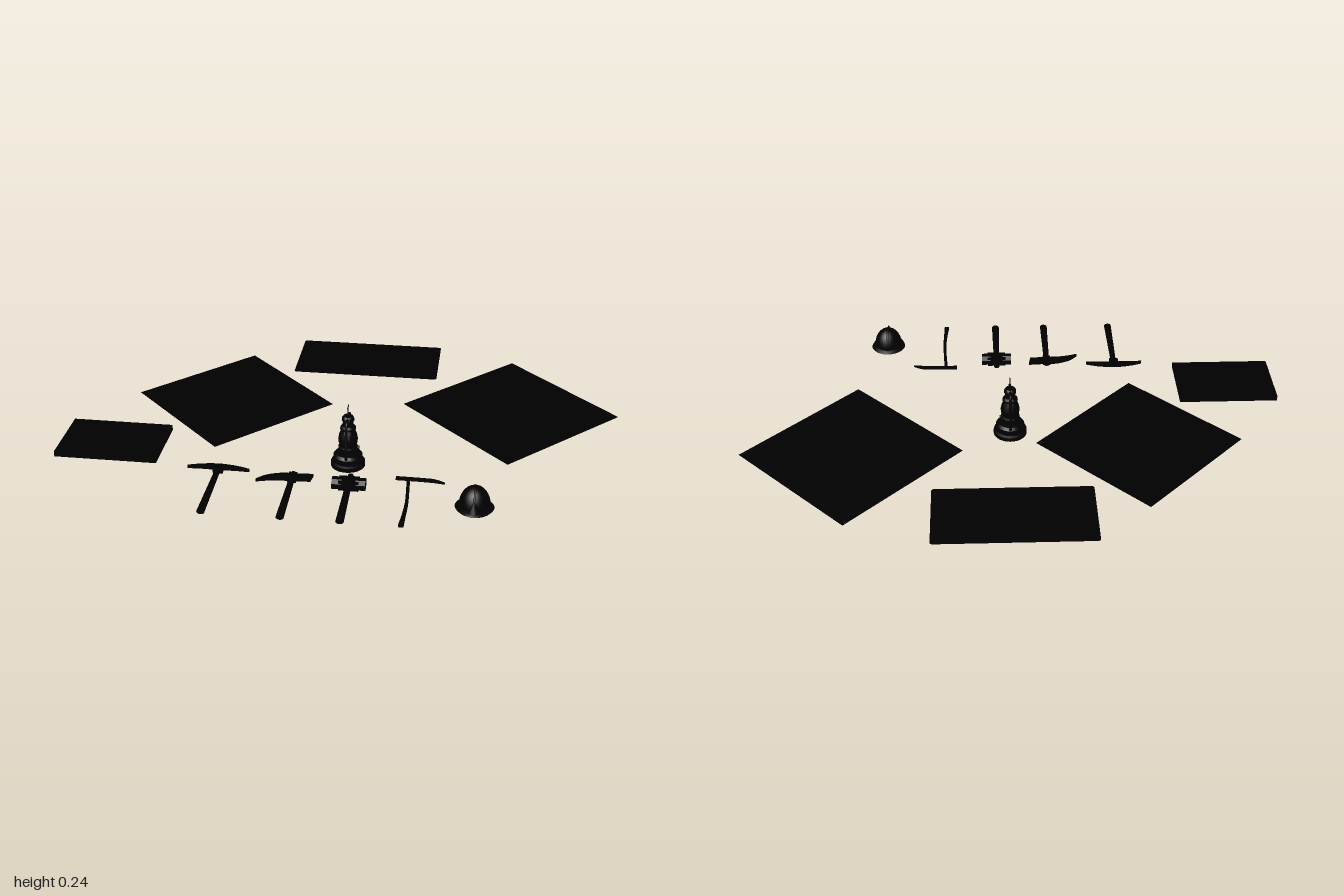
import * as THREE from 'three';
import { toCreasedNormals } from 'three/addons/utils/BufferGeometryUtils.js';

const material = new THREE.MeshStandardMaterial({ color: 0x000000, side: THREE.DoubleSide });
const LEVEL = 0.12; // height at which the flat items lie

function add(parent, name, geometry, x = 0, y = 0, z = 0) {
  const mesh = new THREE.Mesh(geometry, material);
  mesh.name = name;
  mesh.position.set(x, y, z);
  parent.add(mesh);
  return mesh;
}

function group(parent, name, x, y, z) {
  const g = new THREE.Group();
  g.name = name;
  g.position.set(x, y, z);
  parent.add(g);
  return g;
}

// Plan outline in x,z given as smooth edges, extruded to a thickness centred on y = 0
function plate(edges, thickness) {
  const shape = new THREE.Shape();
  edges.forEach((edge, i) => {
    const pts = edge.map(([x, z]) => new THREE.Vector2(x, z));
    if (i === 0) shape.moveTo(pts[0].x, pts[0].y);
    else shape.lineTo(pts[0].x, pts[0].y);
    if (pts.length > 2) shape.splineThru(pts.slice(1));
    else pts.slice(1).forEach(p => shape.lineTo(p.x, p.y));
  });
  const g = new THREE.ExtrudeGeometry(shape, { depth: thickness, bevelEnabled: false, curveSegments: 16 });
  g.rotateX(Math.PI / 2);
  g.translate(0, thickness / 2, 0);
  return toCreasedNormals(g, 0.6);
}

// Round shaft lying along z, flaring from the head end to the grip end
function shaft(z0, z1, r0, r1) {
  const g = new THREE.CylinderGeometry(r1, r0, z1 - z0, 12);
  g.rotateX(Math.PI / 2);
  g.scale(1, 0.7, 1);
  g.translate(0, 0, (z0 + z1) / 2);
  return g;
}

function sheets(root) {
  // Two square sheets turned on their corners
  for (const [name, x, z, r] of [['rightSheet', -0.445, -0.133, 0.375], ['leftSheet', 0.598, -0.17, 0.402]]) {
    const g = new THREE.PlaneGeometry(r * Math.SQRT2, r * Math.SQRT2);
    g.rotateX(-Math.PI / 2);
    add(root, name, g, x, LEVEL, z).rotation.y = Math.PI / 4;
  }
  // Oblong sheet with softened corners
  const w = 0.283, d = 0.143, c = 0.006;
  add(root, 'backSheet', plate([
    [[-w + c, -d], [w - c, -d]], [[w, -d + c], [w, d - c]],
    [[w - c, d], [-w + c, d]], [[-w, d - c], [-w, -d + c]],
  ], 0.002), 0.022, LEVEL, -0.532);
}

function planks(root) {
  const g = group(root, 'planks', -0.815, LEVEL, 0.243);
  for (const i of [-1, 0, 1]) add(g, 'plank', new THREE.BoxGeometry(0.37, 0.02, 0.079), 0, 0, i * 0.082);
}

function doublePick(root) {
  const g = group(root, 'doublePick', -0.4, LEVEL, 0);
  add(g, 'handle', shaft(0.37, 0.665, 0.010, 0.014));
  add(g, 'head', plate([
    [[-0.11, 0.387], [-0.06, 0.372], [0, 0.365], [0.06, 0.372], [0.11, 0.387]],
    [[0.06, 0.385], [0.02, 0.386], [0, 0.387], [-0.02, 0.386], [-0.06, 0.385], [-0.11, 0.387]],
  ], 0.014));
  add(g, 'collar', new THREE.BoxGeometry(0.034, 0.022, 0.03), 0, 0, 0.388);
}

function adzePick(root) {
  const g = group(root, 'adzePick', -0.135, LEVEL, 0);
  add(g, 'handle', shaft(0.382, 0.665, 0.010, 0.014));
  add(g, 'head', plate([
    [[-0.123, 0.446], [-0.09, 0.415], [-0.04, 0.396], [0.01, 0.394], [0.07, 0.390]],
    [[0.064, 0.424], [0.03, 0.426], [-0.02, 0.428], [-0.07, 0.432], [-0.123, 0.446]],
  ], 0.012));
  add(g, 'collar', new THREE.BoxGeometry(0.03, 0.018, 0.042), 0, 0, 0.412);
}

function hammer(root) {
  const g = group(root, 'sledgeHammer', 0.063, LEVEL, 0);
  add(g, 'handle', shaft(0.372, 0.665, 0.010, 0.014));
  add(g, 'headCore', new THREE.BoxGeometry(0.07, 0.034, 0.044), 0, 0, 0.427);
  // Eight-sided striking faces
  for (const side of [-1, 1]) {
    const face = new THREE.CylinderGeometry(0.026, 0.026, 0.034, 8).toNonIndexed();
    face.rotateY(Math.PI / 8);
    face.rotateZ(Math.PI / 2);
    face.scale(1, 0.82, 1);
    face.computeVertexNormals();
    add(g, 'strikingFace', face, side * 0.041, 0, 0.427);
  }
}

function hookPick(root) {
  const g = group(root, 'slimPick', 0.265, LEVEL, 0);
  // Gently bowed handle
  add(g, 'handle', plate([
    [[-0.009, 0.37], [-0.004, 0.45], [-0.001, 0.53], [-0.005, 0.61], [-0.011, 0.665]],
    [[0.007, 0.665], [0.008, 0.61], [0.010, 0.53], [0.007, 0.45], [0.003, 0.37]],
  ], 0.010));
  add(g, 'head', plate([
    [[-0.046, 0.364], [0.05, 0.365], [0.09, 0.369], [0.124, 0.386]],
    [[0.085, 0.381], [0.04, 0.379], [-0.046, 0.378]],
  ], 0.008));
}

function helmet(root) {
  const g = group(root, 'helmet', 0.495, 0, 0.53);
  const dome = new THREE.SphereGeometry(1, 32, 12, 0, Math.PI * 2, 0, Math.PI / 2);
  dome.scale(0.053, 0.071, 0.054);
  add(g, 'dome', dome, 0, 0.135, 0);
  // Oval brim, narrowing to a peak at the front and drooping at the sides
  const brim = new THREE.LatheGeometry([[0.046, 0.138], [0.058, 0.135], [0.066, 0.127], [0.064, 0.125], [0.046, 0.131]]
    .map(p => new THREE.Vector2(...p)), 40);
  const p = brim.attributes.position;
  for (let i = 0; i < p.count; i++) {
    const z = p.getZ(i), front = Math.max(0, z / 0.066);
    p.setX(i, p.getX(i) * (1 - 0.1 * front));
    p.setZ(i, z * (1 + 0.2 * front));
    p.setY(i, p.getY(i) + 0.008 * front * front);
  }
  brim.computeVertexNormals();
  add(g, 'brim', brim);
  // Crown ridge running front to back
  const ridge = new THREE.TorusGeometry(0.053, 0.004, 6, 24, Math.PI);
  ridge.rotateY(Math.PI / 2);
  ridge.scale(1, 1.28, 1);
  add(g, 'crownRidge', ridge, 0, 0.135, 0);
  // Front lamp bracket, pointed at the top
  const bracket = new THREE.ConeGeometry(0.02, 0.042, 12);
  add(g, 'lampBracket', bracket, 0, 0.165, 0.06);
}

function lantern(root) {
  const g = group(root, 'lantern', 0.018, 0, 0.1);
  const turned = (name, pts) => add(g, name,
    toCreasedNormals(new THREE.LatheGeometry(pts.map(p => new THREE.Vector2(...p)), 32), 0.6));
  turned('fuelTank', [[0, 0], [0.063, 0], [0.063, 0.016], [0.054, 0.02], [0.054, 0.042], [0.046, 0.052], [0.026, 0.056], [0, 0.056]]);
  turned('burner', [[0.022, 0.054], [0.022, 0.066], [0.034, 0.07], [0.036, 0.078], [0.028, 0.082], [0, 0.082]]);
  turned('globe', [[0.026, 0.08], [0.034, 0.095], [0.036, 0.11], [0.032, 0.13], [0.024, 0.148], [0, 0.148]]);
  turned('chimney', [[0.024, 0.146], [0.029, 0.15], [0.028, 0.158], [0.02, 0.164], [0.019, 0.18], [0.023, 0.186], [0.022, 0.196], [0.017, 0.203], [0, 0.203]]);
  // Side tubes from tank to crown
  const tube = (name, pts, r, sides, curved) => {
    const path = new THREE.CatmullRomCurve3(pts.map(([y, z]) => new THREE.Vector3(0, y, z)), false, 'catmullrom', curved);
    add(g, name, new THREE.TubeGeometry(path, 40, r, sides));
  };
  for (const s of [-1, 1]) {
    tube('sideTube', [[0.046, 0.038], [0.052, 0.058], [0.062, 0.067], [0.09, 0.065], [0.14, 0.056],
      [0.18, 0.048], [0.192, 0.04], [0.195, 0.015]].map(([y, z]) => [y, z * s]), 0.005, 8, 0.4);
    const knob = new THREE.CylinderGeometry(0.006, 0.006, 0.014, 12);
    knob.rotateZ(Math.PI / 2);
    if (s > 0) add(g, 'wickKnob', knob, 0.034, 0.074, 0);
  }
  // Thin carrying wire
  tube('bail', [[0.198, -0.021], [0.228, -0.022], [0.24, -0.016], [0.242, 0], [0.24, 0.016], [0.228, 0.022], [0.198, 0.021]], 0.0011, 6, 0.5);
}

export function createModel() {
  const root = new THREE.Group();
  root.name = 'miningTools';
  [sheets, planks, doublePick, adzePick, hammer, hookPick, helmet, lantern].forEach(build => build(root));
  return root;
}
